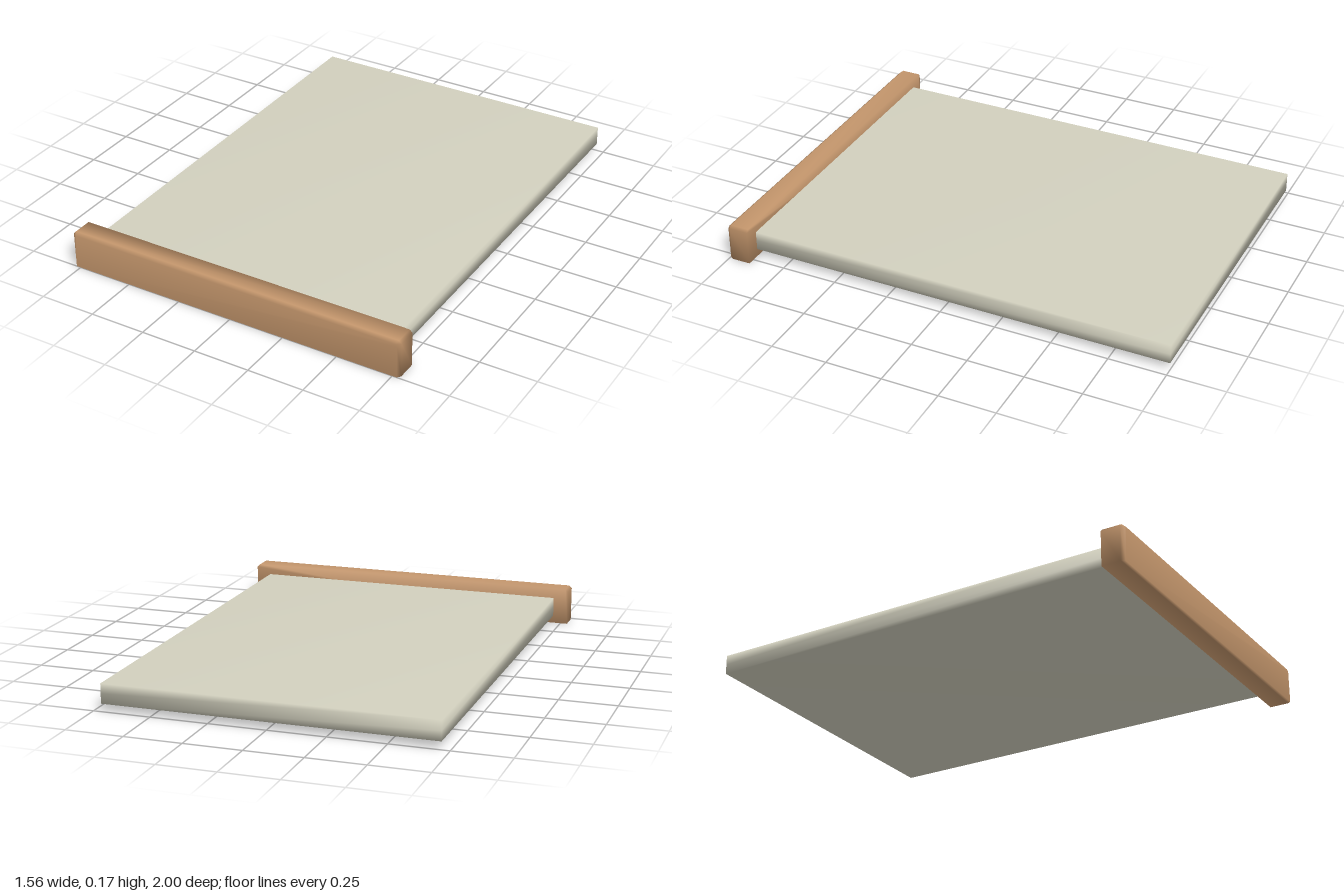
import * as THREE from 'three';
import { mergeVertices } from 'three/addons/utils/BufferGeometryUtils.js';

// Share vertices across edges so the shading rolls softly round them
function soften(geometry) {
  geometry.deleteAttribute('normal');
  geometry.deleteAttribute('uv');
  const merged = mergeVertices(geometry, 1e-4);
  merged.computeVertexNormals();
  return merged;
}

// Rail outline with small clipped top corners, counter-clockwise from the front
function outline(halfWidth, top, clip, z) {
  return [
    [-halfWidth, 0, z], [halfWidth, 0, z],
    [halfWidth, top - clip, z], [halfWidth - clip, top, z],
    [-halfWidth + clip, top, z], [-halfWidth, top - clip, z],
  ];
}

// Solid skinned through cross-sections running from back to front
function loft(sections) {
  const n = sections[0].length;
  const last = (sections.length - 1) * n;
  const index = [];
  for (let s = 0; s < sections.length - 1; s++) {
    for (let i = 0; i < n; i++) {
      const a = s * n + i, b = s * n + (i + 1) % n;
      index.push(a, b, b + n, a, b + n, a + n);
    }
  }
  for (let i = 1; i < n - 1; i++) {
    index.push(0, i + 1, i);
    index.push(last, last + i, last + i + 1);
  }
  const geometry = new THREE.BufferGeometry();
  geometry.setAttribute('position', new THREE.Float32BufferAttribute(sections.flat(2), 3));
  geometry.setIndex(index);
  geometry.computeVertexNormals();
  return geometry;
}

export function createModel() {
  const model = new THREE.Group();
  model.name = 'railedPanel';

  const stone = new THREE.MeshStandardMaterial({ color: 0xd2d0be });
  stone.name = 'pale stone';
  const wood = new THREE.MeshStandardMaterial({ color: 0xc4966c });
  wood.name = 'light wood';

  // Flat panel with a seam at half its height
  const panel = new THREE.Mesh(soften(new THREE.BoxGeometry(1.43, 0.086, 1.9, 1, 2, 1)), stone);
  panel.name = 'panel';
  panel.position.set(0, 0.077, -0.05);
  model.add(panel);

  // Front rail, flat at the back and bevelled round the front face
  const rail = new THREE.Mesh(loft([
    outline(0.782, 0.165, 0.012, 0.9),
    outline(0.782, 0.165, 0.012, 0.985),
    outline(0.77, 0.153, 0.01, 1.0),
  ]), wood);
  rail.name = 'frontRail';
  model.add(rail);

  return model;
}
